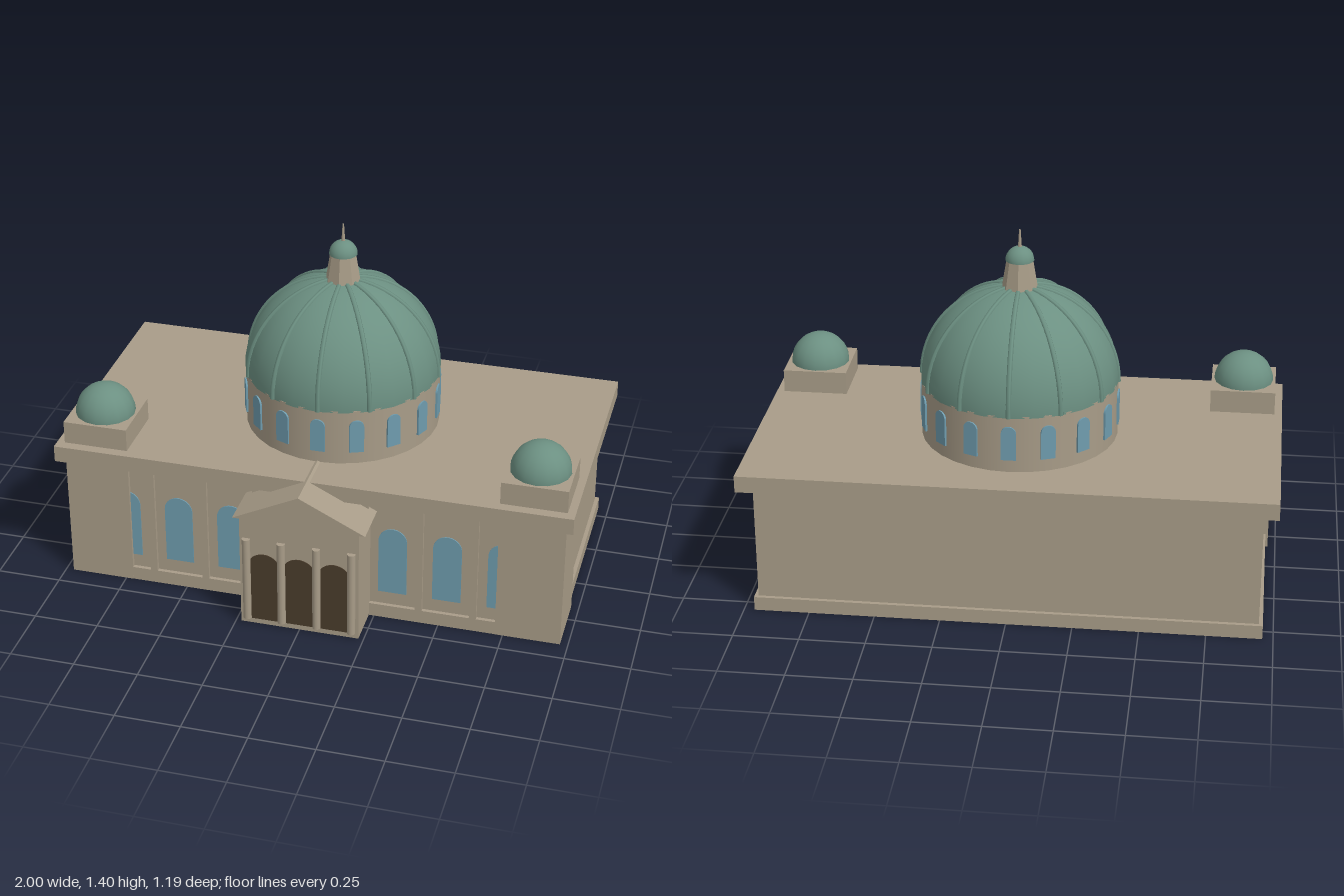
import * as THREE from 'three';

const mat = (name, color, extra = {}) => {
  const m = new THREE.MeshStandardMaterial({ color, ...extra });
  m.name = name;
  return m;
};

export function createModel() {
  const stone = mat('stone', 0xa89c88);
  const copper = mat('copper green', 0x6c9082);
  const glass = mat('window blue', 0x6f9cae);
  const wood = mat('door brown', 0x4a3c2c);
  const model = new THREE.Group();
  model.name = 'domedBuilding';
  const CZ = -0.07; // centre of the main block and dome

  const add = (name, geo, material, x = 0, y = 0, z = 0, parent = model) => {
    const mesh = new THREE.Mesh(geo, material);
    mesh.name = name;
    mesh.position.set(x, y, z);
    parent.add(mesh);
    return mesh;
  };
  // box given by its lower and upper limits
  const box = (name, x0, x1, y0, y1, z0, z1) =>
    add(name, new THREE.BoxGeometry(x1 - x0, y1 - y0, z1 - z0), stone,
      (x0 + x1) / 2, (y0 + y1) / 2, (z0 + z1) / 2);
  // thin round-headed plate standing on y = 0
  const archPlate = (width, height, depth) => {
    const r = width / 2, s = new THREE.Shape();
    s.moveTo(-r, 0);
    s.lineTo(r, 0);
    s.lineTo(r, height - r);
    s.absarc(0, height - r, r, 0, Math.PI, false);
    s.lineTo(-r, 0);
    return new THREE.ExtrudeGeometry(s, { depth, bevelEnabled: false, curveSegments: 10 });
  };
  const halfDome = (r, w, h) => new THREE.SphereGeometry(r, w, h, 0, Math.PI * 2, 0, Math.PI / 2);

  // main block
  box('body', -0.945, 0.945, 0, 0.53, -0.54, 0.4);
  box('plinth', -0.96, 0.96, 0, 0.055, -0.555, 0.415);
  box('cornice', -1, 1, 0.52, 0.585, -0.595, 0.455);

  // facade windows, pilasters and corner pavilions
  const facadeWindow = archPlate(0.11, 0.285, 0.008);
  for (const s of [-1, 1]) {
    for (let i = 0; i < 3; i++) {
      add('facadeWindow', facadeWindow, glass, s * (0.3175 + 0.21 * i), 0.11, 0.396);
      const px = s * (0.2125 + 0.21 * i);
      box('pilaster', px - 0.0135, px + 0.0135, 0.02, 0.505, 0.39, 0.415);
    }
    const cx = s * 0.845;
    box('cornerPavilion', cx - 0.125, cx + 0.125, 0, 0.675, 0.165, 0.416);
    add('pavilionDome', halfDome(0.115, 16, 8), copper, cx, 0.675, 0.29);
  }

  // entrance portico with gable roof, doors and columns
  box('portico', -0.23, 0.23, 0, 0.468, 0.39, 0.575);
  const gable = new THREE.Shape([
    new THREE.Vector2(-0.255, 0.465), new THREE.Vector2(0.255, 0.465), new THREE.Vector2(0, 0.59)]);
  add('pediment', new THREE.ExtrudeGeometry(gable, { depth: 0.28, bevelEnabled: false }),
    stone, 0, 0, 0.3);
  const door = archPlate(0.13, 0.295, 0.008);
  for (const x of [-0.136, 0, 0.136]) add('door', door, wood, x, 0.022, 0.57);
  const column = new THREE.CylinderGeometry(0.016, 0.016, 0.355, 12);
  for (const x of [-0.203, -0.068, 0.068, 0.203]) add('column', column, stone, x, 0.2025, 0.58);

  // great dome: drum, windows, shell, ribs
  const dome = new THREE.Group();
  dome.name = 'greatDome';
  dome.position.z = CZ;
  model.add(dome);
  const R = 0.375;
  add('drum', new THREE.CylinderGeometry(R, R, 0.24, 32), stone, 0, 0.69, 0, dome);
  const drumWindow = archPlate(0.056, 0.135, 0.009).translate(0, 0, R - 0.004);
  for (let i = 0; i < 16; i++)
    add('drumWindow', drumWindow, glass, 0, 0.635, 0, dome).rotation.y = i * Math.PI / 8;
  add('domeShell', halfDome(R + 0.002, 24, 14), copper, 0, 0.803, 0, dome);
  const arc = [];
  for (let i = 0; i <= 12; i++) {
    const a = (i / 12) * 1.42;
    arc.push(new THREE.Vector3(R * Math.cos(a), R * Math.sin(a), 0));
  }
  const rib = new THREE.TubeGeometry(new THREE.CatmullRomCurve3(arc), 20, 0.01, 6);
  for (let i = 0; i < 12; i++)
    add('domeRib', rib, copper, 0, 0.803, 0, dome).rotation.y = i * Math.PI / 6;

  // lantern with its cap and spire
  const lantern = new THREE.CylinderGeometry(0.05, 0.068, 0.11, 8).toNonIndexed();
  lantern.computeVertexNormals();
  add('lantern', lantern, stone, 0, 1.225, 0, dome);
  add('lanternCap', halfDome(0.054, 16, 8), copper, 0, 1.279, 0, dome);
  add('spire', new THREE.CylinderGeometry(0.003, 0.008, 0.08, 8), stone, 0, 1.36, 0, dome);

  return model;
}
